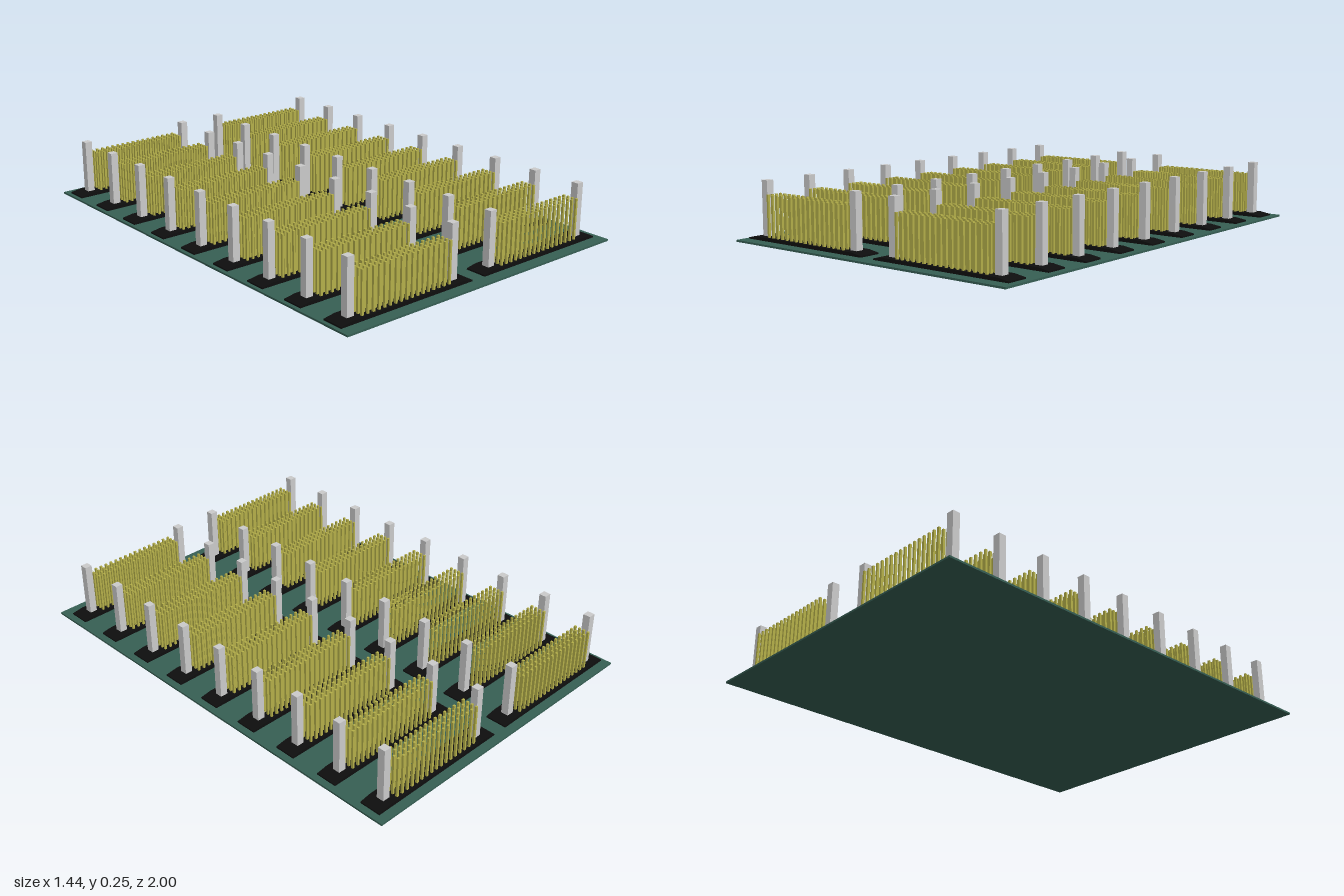
import * as THREE from 'three';
import { mergeGeometries } from 'three/addons/utils/BufferGeometryUtils.js';

const BOARD_TOP = 0.008, BASE_TOP = 0.022;
const ROWS = 9, ROW_PITCH = 0.2266, ROW_CENTRE = -0.007;
const COLUMN_X = [-0.372, 0.359];
const PINS_X = 17, PINS_Z = 4, PIN_PITCH = 0.0275, PIN_SPAN_Z = 0.064;

const material = (color) => new THREE.MeshStandardMaterial({ color });

// Upright square bar from y0 to y1
function bar(x, z, width, y0, y1) {
  return new THREE.BoxGeometry(width, y1 - y0, width).translate(x, (y0 + y1) / 2, z);
}

// Long socket body with sloped ends
function socketGeometry() {
  const s = new THREE.Shape();
  s.moveTo(-0.331, BOARD_TOP);
  s.lineTo(0.331, BOARD_TOP);
  s.lineTo(0.331, 0.014);
  s.lineTo(0.28, BASE_TOP);
  s.lineTo(-0.28, BASE_TOP);
  s.lineTo(-0.331, 0.014);
  s.closePath();
  return new THREE.ExtrudeGeometry(s, { depth: 0.095, bevelEnabled: false }).translate(0, 0, -0.0475);
}

// Grid of contact pins
function pinGeometry() {
  const pins = [];
  for (let i = 0; i < PINS_X; i++) {
    for (let j = 0; j < PINS_Z; j++) {
      const x = (i - (PINS_X - 1) / 2) * PIN_PITCH;
      const z = (j / (PINS_Z - 1) - 0.5) * PIN_SPAN_Z;
      pins.push(bar(x, z, 0.0095, BASE_TOP, 0.2));
    }
  }
  return mergeGeometries(pins);
}

export function createModel() {
  const model = new THREE.Group();
  model.name = 'connectorBoard';

  const add = (parent, name, geometry, mat) => {
    const mesh = new THREE.Mesh(geometry, mat);
    mesh.name = name;
    parent.add(mesh);
  };

  // Circuit board
  add(model, 'board', new THREE.BoxGeometry(1.44, BOARD_TOP, 2).translate(0, BOARD_TOP / 2, 0), material(0x375f54));

  // Parts shared by every connector
  const socket = socketGeometry(), pins = pinGeometry();
  const post = bar(0, 0, 0.033, BASE_TOP, 0.255);
  const black = material(0x0e0e0e), brass = material(0xb5b04a), grey = material(0xcccccc);

  // Two columns of nine connectors
  for (const x of COLUMN_X) {
    for (let r = 0; r < ROWS; r++) {
      const connector = new THREE.Group();
      connector.name = 'connector';
      connector.position.set(x, 0, ROW_CENTRE + (r - (ROWS - 1) / 2) * ROW_PITCH);
      add(connector, 'socket', socket, black);
      add(connector, 'pins', pins, brass);
      for (const side of [-1, 1]) {
        add(connector, 'guidePost', post, grey);
        connector.children.at(-1).position.x = side * 0.261;
      }
      model.add(connector);
    }
  }
  return model;
}
